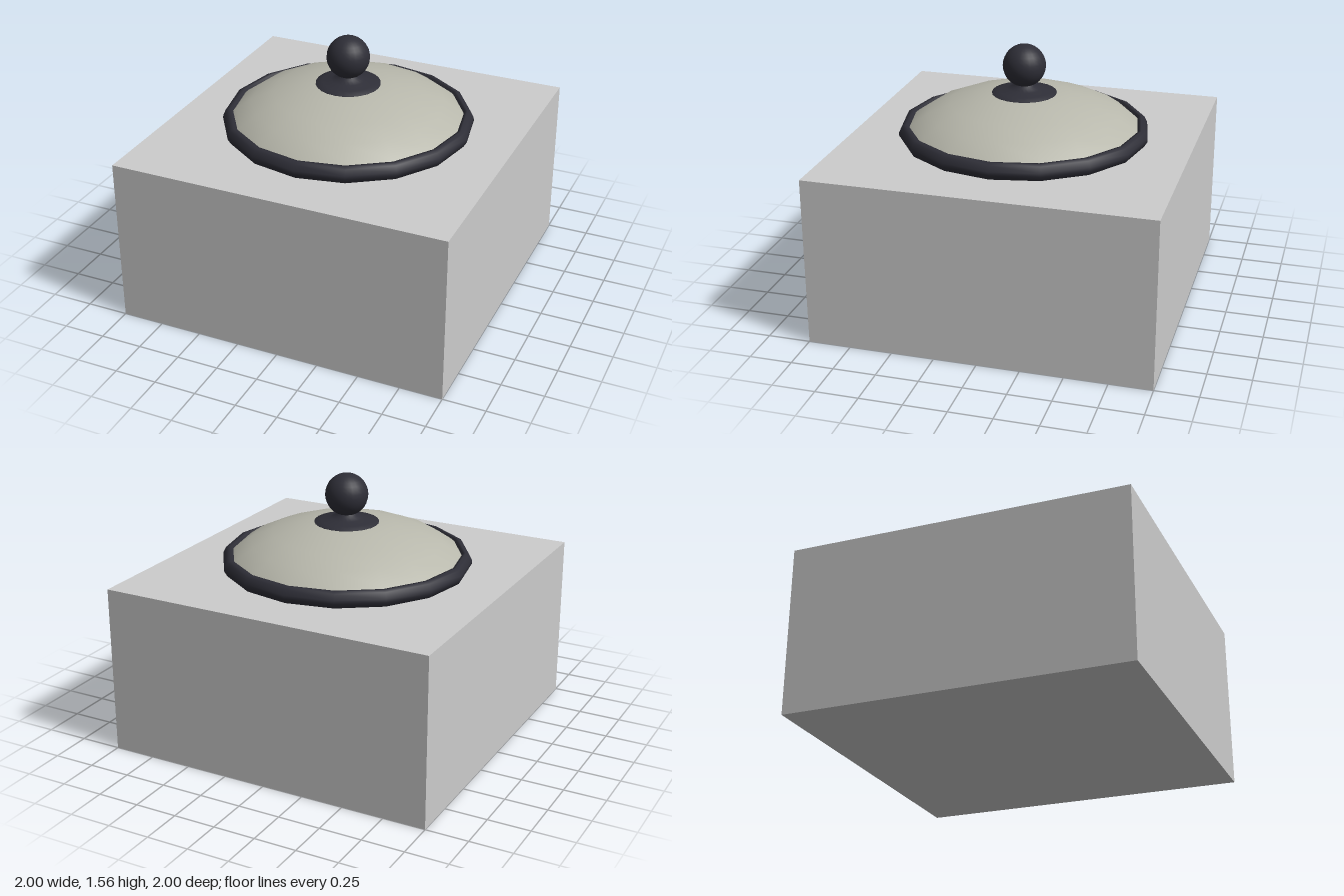
import * as THREE from 'three';

const flat = (name, color) => {
  const m = new THREE.MeshStandardMaterial({ color });
  m.name = name;
  return m;
};

export function createModel() {
  const group = new THREE.Group();
  const grey = flat('light grey', 0xcccccc);
  const cream = flat('warm grey', 0xb8b8ac);
  const dark = flat('charcoal', 0x2e2e37);

  const add = (name, geometry, material, y = 0) => {
    const mesh = new THREE.Mesh(geometry, material);
    mesh.name = name;
    mesh.position.y = y;
    group.add(mesh);
    return mesh;
  };
  // Profiles run from bottom to top as [radius, height]
  const lathe = (points, sides) =>
    new THREE.LatheGeometry(points.map(([r, y]) => new THREE.Vector2(r, y)), sides);

  // Square block
  add('base', new THREE.BoxGeometry(2, 1, 2), grey, 0.5);

  // Sixteen-sided rounded rim around the lid
  add('rim', lathe([
    [0.69, 1.0], [0.722, 1.005], [0.74, 1.035], [0.738, 1.055],
    [0.722, 1.088], [0.7, 1.097], [0.685, 1.095], [0.67, 1.06],
  ], 16), dark);

  // Shallow domed lid
  add('lid', lathe([
    [0.69, 1.07], [0.66, 1.098], [0.57, 1.16], [0.44, 1.215],
    [0.28, 1.259], [0.14, 1.277], [0, 1.283],
  ], 16), cream);

  // Flared foot and ball of the handle
  add('knobFoot', lathe([
    [0.19, 1.262], [0.19, 1.275], [0.15, 1.285], [0.1, 1.298],
    [0.065, 1.312], [0.05, 1.335],
  ], 24), dark);
  add('knob', new THREE.SphereGeometry(0.126, 24, 16), dark, 1.437);

  return group;
}
